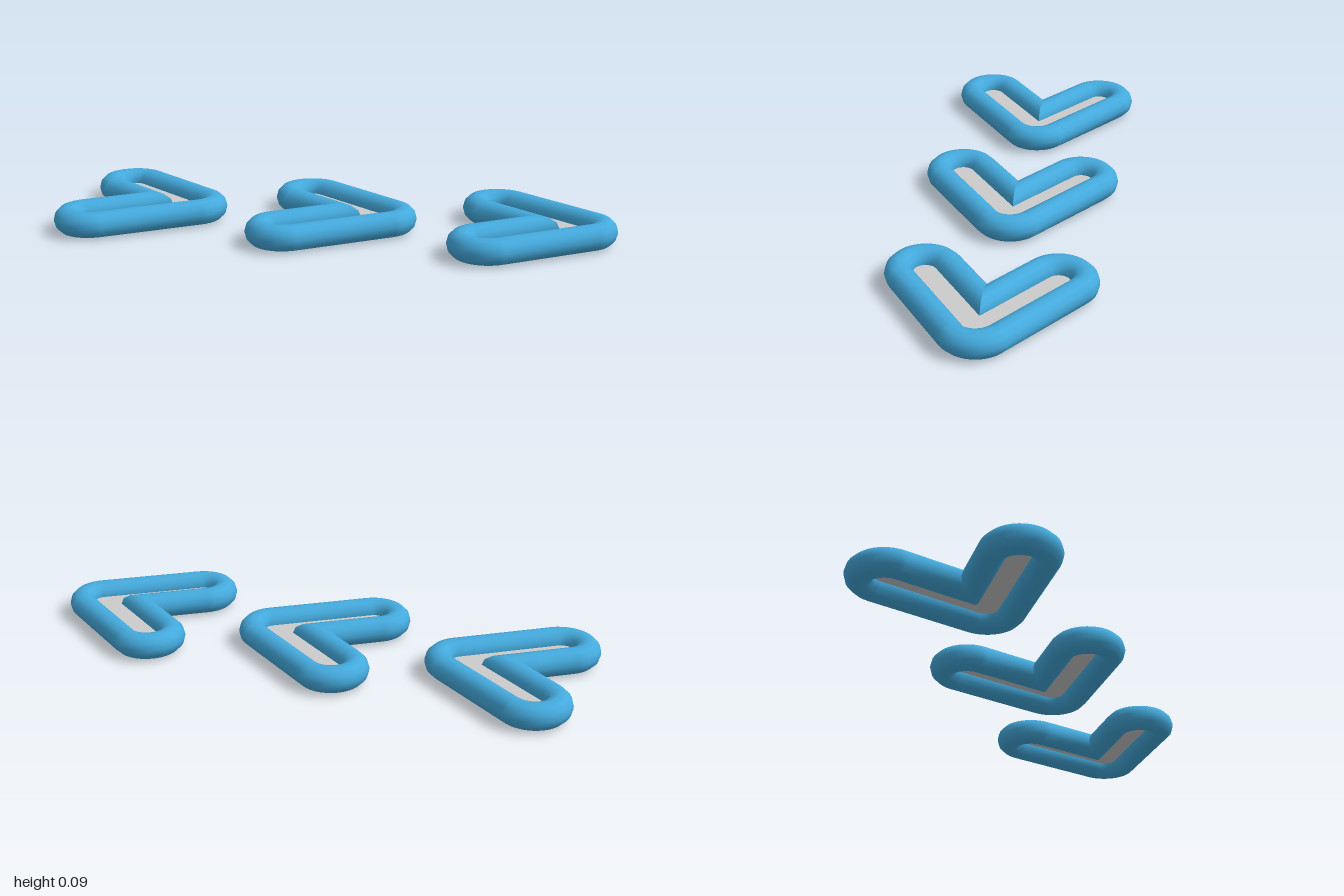
import * as THREE from 'three';

const TUBE = 0.0475;          // radius of the rim tube
const OFFSET = 0.0875;        // rim centreline distance from the chevron's spine
const SPINE_X = 0.1515, SPINE_Z = 0.223;
const THETA = Math.atan2(SPINE_Z, 2 * SPINE_X);

// Stations round the chevron: a spine point (x, z) and its outward direction (nx, nz).
function stations() {
  const list = [];
  const arc = (x, z, from, to, steps) => {
    for (let i = 0; i <= steps; i++) {
      const a = from + (to - from) * i / steps;
      list.push({ x, z, nx: Math.cos(a), nz: Math.sin(a) });
    }
  };
  const q = Math.PI / 2;
  const notch = { x: SPINE_X, z: 0, nx: -1 / Math.sin(THETA), nz: 0 };
  arc(SPINE_X, 0, THETA - q, q - THETA, 12);                  // tip
  arc(-SPINE_X, SPINE_Z, q - THETA, 3 * q - THETA, 18);       // front end
  list.push(notch, notch);                                    // doubled for a crisp mitre
  arc(-SPINE_X, -SPINE_Z, q + THETA, 3 * q + THETA, 18);      // back end
  return list;
}

// Closed round tube swept along the offset outline.
function rimGeometry(sides = 12) {
  const path = stations(), pos = [], index = [];
  for (const s of path) {
    for (let j = 0; j < sides; j++) {
      const a = j / sides * Math.PI * 2;
      const d = OFFSET + TUBE * Math.cos(a);
      pos.push(s.x + s.nx * d, TUBE * Math.sin(a), s.z + s.nz * d);
    }
  }
  const n = path.length;
  for (let i = 0; i < n; i++) {
    for (let j = 0; j < sides; j++) {
      const i2 = (i + 1) % n, j2 = (j + 1) % sides;
      const a = i * sides + j, b = i * sides + j2, c = i2 * sides + j2, d = i2 * sides + j;
      index.push(a, b, d, b, c, d);
    }
  }
  const g = new THREE.BufferGeometry();
  g.setAttribute('position', new THREE.Float32BufferAttribute(pos, 3));
  g.setIndex(index);
  g.computeVertexNormals();
  return g;
}

// Flat sheet filling the rim, its edge hidden inside the tube.
function panelGeometry() {
  const d = 0.06;
  const outline = stations().map(s => new THREE.Vector2(s.x + s.nx * d, s.z + s.nz * d));
  // drop the repeated notch point and the closing point
  const points = outline.filter((p, i) => i === 0 ||
    (p.distanceTo(outline[i - 1]) > 1e-5 && p.distanceTo(outline[0]) > 1e-5));
  return new THREE.ShapeGeometry(new THREE.Shape(points)).rotateX(-Math.PI / 2).scale(1, 1, -1);
}

export function createModel() {
  const blue = new THREE.MeshStandardMaterial({ color: 0x44aadd });
  blue.name = 'rimBlue';
  const grey = new THREE.MeshStandardMaterial({ color: 0xcccccc, side: THREE.DoubleSide });
  grey.name = 'panelGrey';

  const rim = rimGeometry(), panel = panelGeometry();
  const model = new THREE.Group();
  model.name = 'chevronArrows';
  ['right', 'middle', 'left'].forEach((name, i) => {
    const chevron = new THREE.Group();
    chevron.name = name + 'Chevron';
    const rimMesh = new THREE.Mesh(rim, blue);
    rimMesh.name = 'rim';
    const panelMesh = new THREE.Mesh(panel, grey);
    panelMesh.name = 'panel';
    chevron.add(rimMesh, panelMesh);
    chevron.position.set((i - 1) * 0.7135, TUBE, 0);
    model.add(chevron);
  });
  return model;
}
